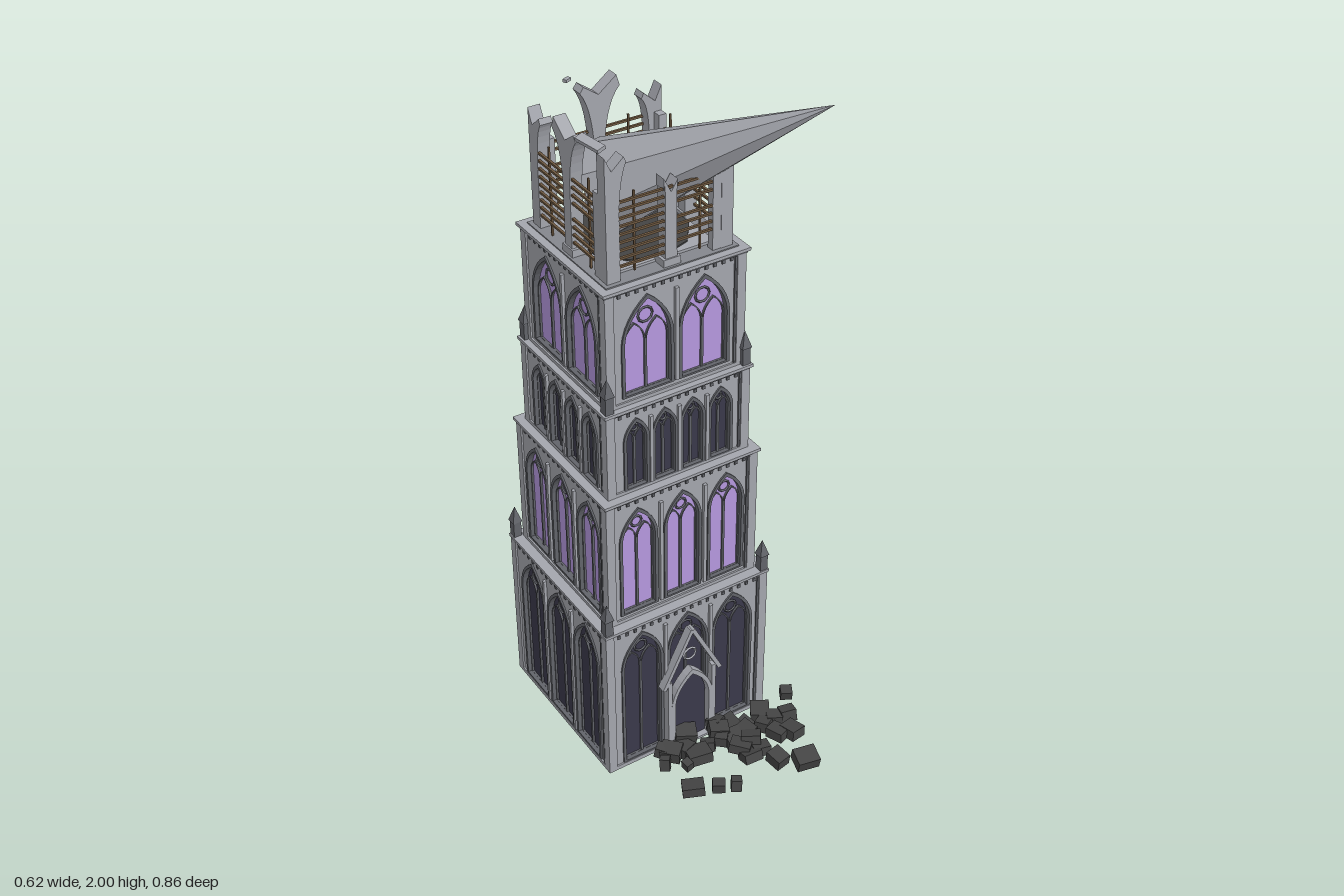
import * as THREE from 'three';

const mat = (name, color, double) => {
  const m = new THREE.MeshStandardMaterial({ color });
  m.name = name;
  m.flatShading = true;
  if (double) m.side = THREE.DoubleSide;
  return m;
};
const stone = mat('pale stone', 0xa4a6ad);
const trim = mat('dark stone', 0x62646a);
const floorGrey = mat('floor grey', 0x85878d);
const violet = mat('violet glass', 0xb598de);
const dark = mat('dark glass', 0x3a384a);
const wood = mat('old wood', 0x6e5840);
const rubbleMat = mat('rubble', 0x444444);

function add(parent, name, geo, material, x = 0, y = 0, z = 0) {
  const m = new THREE.Mesh(geo, material);
  m.name = name;
  m.position.set(x, y, z);
  parent.add(m);
  return m;
}
const box = (p, name, m, w, h, d, x, y, z) => add(p, name, new THREE.BoxGeometry(w, h, d), m, x, y, z);
const extrude = (shape, depth) => new THREE.ExtrudeGeometry(shape, { depth, bevelEnabled: false, curveSegments: 6 });

// Pointed arch outline: centre x, width, sill and apex heights
function arch(path, x, w, y0, y1) {
  const r = w / 2, ys = y1 - w * 0.85, yc = ys + w * 0.5;
  path.moveTo(x - r, y0);
  path.lineTo(x + r, y0);
  path.lineTo(x + r, ys);
  path.quadraticCurveTo(x + r * 0.92, yc, x, y1);
  path.quadraticCurveTo(x - r * 0.92, yc, x - r, ys);
  path.closePath();
  return path;
}
function archRing(x, w, y0, y1, t, depth) {
  const s = arch(new THREE.Shape(), x, w, y0, y1);
  s.holes.push(arch(new THREE.Path(), x, w - 2 * t, y0 + t * 0.6, y1 - t * 1.4));
  return extrude(s, depth);
}

// Window: glass, moulding, twin lancets and a rosette
function addWindow(p, x, w, y0, y1, h, glass, line) {
  add(p, 'windowGlass', extrude(arch(new THREE.Shape(), x, w, y0, y1), 0.004), glass, 0, 0, h - 0.017);
  add(p, 'windowMoulding', archRing(x, w + 0.012, y0 - 0.004, y1 + 0.009, 0.009, 0.02), trim, 0, 0, h - 0.015);
  const top = y1 - w * 0.5;
  for (const s of [-1, 1])
    add(p, 'lancet', archRing(x + s * w * 0.235, w * 0.47, y0, top, 0.0035, 0.006), line, 0, 0, h - 0.013);
  add(p, 'rosette', new THREE.TorusGeometry(w * 0.15, 0.0035, 4, 10), line, x, y1 - w * 0.4, h - 0.009);
}

// One storey: core, four pierced walls, cornice, dentils and corner piers
function addTier(tower, t) {
  const { y0, y1, h, cornice, xs, w, sill, apex, glass, line } = t;
  const g = new THREE.Group();
  g.name = t.name;
  tower.add(g);
  box(g, 'core', stone, 2 * h - 0.034, y1 - y0, 2 * h - 0.034, 0, (y0 + y1) / 2, 0);
  for (let k = 0; k < 4; k++) {
    const side = new THREE.Group();
    side.name = 'wallSide';
    side.rotation.y = k * Math.PI / 2;
    g.add(side);
    const wall = new THREE.Shape();
    const e = h - 0.001;
    wall.moveTo(-e, y0); wall.lineTo(e, y0); wall.lineTo(e, y1); wall.lineTo(-e, y1); wall.closePath();
    for (const x of xs) wall.holes.push(arch(new THREE.Path(), x, w, sill, apex));
    add(side, 'wall', extrude(wall, 0.017), stone, 0, 0, h - 0.017);
    for (const x of xs) addWindow(side, x, w, sill, apex, h, glass, line);
    // Slim shafts between the windows
    for (let i = 0; i + 1 < xs.length; i++)
      box(side, 'shaft', stone, 0.01, apex - sill, 0.014, (xs[i] + xs[i + 1]) / 2, (sill + apex) / 2, h + 0.002);
    const n = Math.round(h * 70);
    for (let i = 0; i < n; i++)
      box(side, 'dentil', trim, 0.009, 0.01, 0.005, ((i + 0.5) / n - 0.5) * 2 * (h - 0.025), y1 - 0.02, h + 0.001);
    box(side, 'cornerPier', stone, 0.026, y1 - y0, 0.026, h - 0.008, (y0 + y1) / 2, h - 0.008);
    box(side, 'pierEdge', trim, 0.006, y1 - y0 - 0.03, 0.008, h - 0.026, (y0 + y1) / 2, h + 0.001);
    if (t.pinnacle) {
      box(side, 'pinnacleShaft', trim, 0.024, 0.06, 0.024, h - 0.007, y1 + 0.03, h - 0.007);
      const c = add(side, 'pinnacleTip', new THREE.ConeGeometry(0.021, 0.05, 4), trim, h - 0.007, y1 + 0.08, h - 0.007);
      c.rotation.y = Math.PI / 4;
    }
  }
  box(g, 'cornice', stone, 2 * cornice, 0.009, 2 * cornice, 0, y1 - 0.001, 0);
  box(g, 'corniceUnder', trim, 2 * cornice - 0.012, 0.007, 2 * cornice - 0.012, 0, y1 - 0.009, 0);
  box(g, 'plinth', stone, 2 * h + 0.01, 0.014, 2 * h + 0.01, 0, y0 + 0.007, 0);
}

// Broken pier with curved springers; l and r are the reach of the flare
function brokenPier(p, x, z, w, y0, ys, top, l, r) {
  const s = new THREE.Shape();
  s.moveTo(-w / 2, y0);
  s.lineTo(w / 2, y0);
  s.lineTo(w / 2, ys);
  s.quadraticCurveTo(w / 2 + r * 0.2, (ys + top) / 2 + 0.02, w / 2 + r, top - 0.015);
  s.lineTo(w / 2 + r * 0.7, top);
  s.lineTo(0, top - 0.03);
  s.lineTo(-w / 2 - l * 0.8, top + 0.01);
  s.lineTo(-w / 2 - l, top - 0.02);
  s.quadraticCurveTo(-w / 2 - l * 0.2, (ys + top) / 2 + 0.02, -w / 2, ys);
  s.closePath();
  add(p, 'brokenPier', extrude(s, 0.035), stone, x, 0, z - 0.0175);
}

function addBelfry(tower) {
  const g = new THREE.Group();
  g.name = 'ruinedBelfry';
  tower.add(g);
  box(g, 'belfryFloor', floorGrey, 0.39, 0.008, 0.39, 0, 1.563, 0);
  box(g, 'belfrySlab', stone, 0.3, 0.012, 0.3, 0, 1.568, 0);
  add(g, 'roofOpening', new THREE.CylinderGeometry(0.15, 0.15, 0.004, 10), rubbleMat, 0, 1.576, 0);
  // Per side: corner top, middle top, flare of the middle pier
  const sides = [[1.9, 1.8, 0.004], [1.82, 1.8, 0.004], [1.86, 1.92, 0.045], [1.88, 1.91, 0.045]];
  sides.forEach(([corner, mid, flare], k) => {
    const side = new THREE.Group();
    side.name = 'belfrySide';
    side.rotation.y = k * Math.PI / 2;
    g.add(side);
    brokenPier(side, -0.165, 0.165, 0.038, 1.56, 1.76, corner, 0, 0.022);
    box(side, 'pierReturn', stone, 0.022, 0.24, 0.03, -0.172, 1.68, 0.138);
    brokenPier(side, 0, 0.167, 0.034, 1.56, 1.77, mid, flare, flare * 0.8);
    box(side, 'pierBase', stone, 0.05, 0.025, 0.045, 0, 1.575, 0.166);
    for (let i = 0; i < 9; i++) {
      const short = (i * 3 + k) % 5 === 0;
      box(side, 'louvre', wood, short ? 0.17 : 0.33, 0.006, 0.007, short ? -0.08 : 0, 1.605 + i * 0.022, 0.178);
    }
    for (const x of [-0.1, 0.09]) box(side, 'louvreRod', wood, 0.005, 0.22 + 0.03 * (k % 2), 0.005, x, 1.69, 0.174);
  });
  const chip = box(g, 'looseStone', stone, 0.025, 0.01, 0.08, -0.195, 1.935, 0.14);
  chip.rotation.set(0.06, 0.2, 0.2);
  box(g, 'looseStone', stone, 0.02, 0.008, 0.012, -0.06, 1.925, -0.2).rotation.y = 0.4;
}

// Gabled doorway on the front face
function addPortal(tower) {
  const g = new THREE.Group();
  g.name = 'portal';
  g.position.z = 0.265;
  tower.add(g);
  add(g, 'doorPanel', extrude(arch(new THREE.Shape(), 0, 0.11, 0, 0.27), 0.006), dark);
  add(g, 'doorArch', archRing(0, 0.14, 0, 0.29, 0.013, 0.025), stone);
  for (const s of [-1, 1]) {
    const a = Math.atan2(0.18, 0.09);
    const bar = box(g, 'gableBar', stone, 0.208, 0.012, 0.026, s * 0.048, 0.345, 0.013);
    bar.rotation.z = -s * a;
    box(g, 'portalPost', stone, 0.013, 0.27, 0.024, s * 0.074, 0.135, 0.012);
    box(g, 'portalFoot', stone, 0.022, 0.03, 0.03, s * 0.074, 0.015, 0.014);
  }
  add(g, 'gableRing', new THREE.TorusGeometry(0.02, 0.004, 4, 10), stone, 0, 0.34, 0.01);
}

function addRubble(root) {
  const g = new THREE.Group();
  g.name = 'rubble';
  root.add(g);
  let seed = 7;
  const rnd = () => (seed = (seed * 16807) % 2147483647) / 2147483647;
  // x, z, size
  const spots = [
    [-0.15, 0.31, 0.05], [-0.09, 0.35, 0.03], [-0.04, 0.365, 0.028], [0.11, 0.355, 0.045], [0.18, 0.395, 0.055],
    [0.21, 0.285, 0.05], [0.285, 0.15, 0.032], [0.255, 0.01, 0.045], [0.18, 0.165, 0.055], [0.16, 0.215, 0.04],
    [-0.07, 0.215, 0.06], [-0.13, 0.165, 0.05], [-0.17, 0.195, 0.026], [-0.12, 0.235, 0.024], [0.06, 0.29, 0.05],
    [0.1, 0.21, 0.05], [0.03, 0.17, 0.045], [-0.02, 0.19, 0.04], [0.24, 0.22, 0.04], [0.08, 0.16, 0.05],
    [0.12, 0.18, 0.035], [-0.09, 0.165, 0.05], [0.05, 0.255, 0.05], [0.1, 0.285, 0.04], [-0.06, 0.13, 0.05],
    [0.17, 0.27, 0.045], [0.2, 0.21, 0.04], [0.06, 0.21, 0.055], [0.09, 0.25, 0.045], [-0.15, 0.15, 0.035],
    [0.02, 0.2, 0.035], [0.04, 0.14, 0.04],
  ];
  for (const [x, z, s] of spots) {
    const b = box(g, 'rubbleBlock', rubbleMat, s, 0.028 + rnd() * 0.012, s * (1 + rnd() * 0.3), x, 0.03 + rnd() * 0.02, z);
    b.rotation.set((rnd() - 0.5) * 0.5, rnd() * 1.5, (rnd() - 0.5) * 0.5);
  }
}

// Toppled spire lying in the belfry
function addSpire(root) {
  const base = new THREE.Vector3(-0.07, 1.69, -0.215), tip = new THREE.Vector3(0.285, 2, 0.235);
  const dir = tip.clone().sub(base), len = dir.length();
  const c = add(root, 'fallenSpire', new THREE.ConeGeometry(0.128, len, 8), stone);
  c.position.copy(base).add(tip).multiplyScalar(0.5);
  c.quaternion.setFromUnitVectors(new THREE.Vector3(0, 1, 0), dir.normalize());
}

export function createModel() {
  const root = new THREE.Group();
  root.name = 'ruinedTower';
  const tower = new THREE.Group();
  tower.name = 'tower';
  tower.position.set(-0.035, 0, -0.16);
  root.add(tower);
  const tiers = [
    { name: 'firstStorey', y0: 0, y1: 0.52, h: 0.262, cornice: 0.27, xs: [-0.15, 0, 0.15], w: 0.125, sill: 0.02, apex: 0.48, glass: dark, line: trim, pinnacle: true },
    { name: 'secondStorey', y0: 0.52, y1: 0.94, h: 0.235, cornice: 0.246, xs: [-0.14, 0, 0.14], w: 0.108, sill: 0.55, apex: 0.89, glass: violet, line: trim },
    { name: 'thirdStorey', y0: 0.94, y1: 1.21, h: 0.216, cornice: 0.227, xs: [-0.13, -0.043, 0.043, 0.13], w: 0.066, sill: 0.955, apex: 1.165, glass: dark, line: trim, pinnacle: true },
    { name: 'fourthStorey', y0: 1.21, y1: 1.56, h: 0.204, cornice: 0.217, xs: [-0.085, 0.085], w: 0.142, sill: 1.24, apex: 1.515, glass: violet, line: trim },
  ];
  tiers.forEach((t) => addTier(tower, t));
  addPortal(tower);
  addBelfry(tower);
  addSpire(root);
  addRubble(root);
  return root;
}
